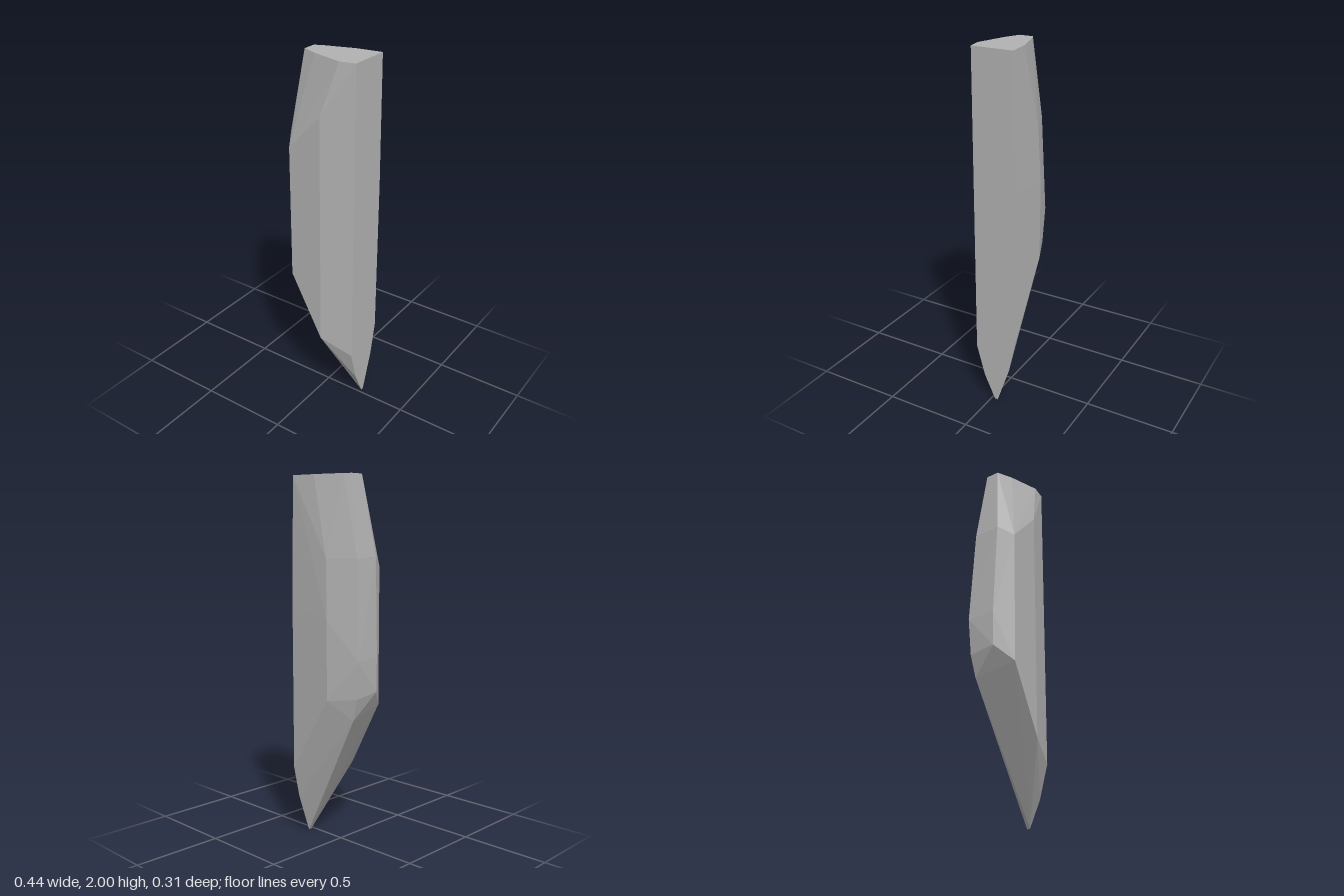
import * as THREE from 'three';
import { ConvexGeometry } from 'three/addons/geometries/ConvexGeometry.js';

// Corner points of the faceted shard, grouped by the ridge line they follow: [x, y, z]
const ridges = {
  flatSideFront: [[0.22, 2, 0.095], [0.22, 0.32, 0.095], [0.22, 0.14, 0.045], [0.22, 0, -0.02]],
  flatSideBack: [[0.22, 2, -0.138], [0.22, 1.3, -0.15], [0.22, 0.4, -0.15], [0.22, 0.22, -0.112], [0.22, 0.08, -0.065], [0.22, 0, -0.038]],
  frontInner: [[0.135, 2, 0.111], [0.05, 1.72, 0.152], [0.05, 0.41, 0.152]],
  frontOuter: [[-0.04, 2, 0.062], [-0.14, 1.52, 0.152], [-0.14, 0.77, 0.152]],
  outerFront: [[-0.128, 2, 0.024], [-0.187, 1.58, 0.07], [-0.208, 1.05, 0.06], [-0.205, 0.86, 0.06]],
  outerBack: [[-0.128, 2, -0.052], [-0.19, 1.57, -0.078], [-0.22, 1.04, -0.093], [-0.203, 0.84, -0.088], [-0.17, 0.72, -0.08]],
  backRidge: [[-0.09, 2, -0.07], [0.08, 2, -0.12], [-0.03, 1.57, -0.142], [-0.045, 1.25, -0.153], [-0.045, 0.82, -0.153]],
};

export function createModel() {
  const group = new THREE.Group();
  group.name = 'stoneShard';

  const stone = new THREE.MeshStandardMaterial({ color: 0xb2b2b2 });
  stone.name = 'grey stone';

  // Convex faceted body with hard-edged faces
  const points = Object.values(ridges).flat().map((p) => new THREE.Vector3(...p));
  const shard = new THREE.Mesh(new ConvexGeometry(points), stone);
  shard.name = 'shard';
  group.add(shard);

  return group;
}
